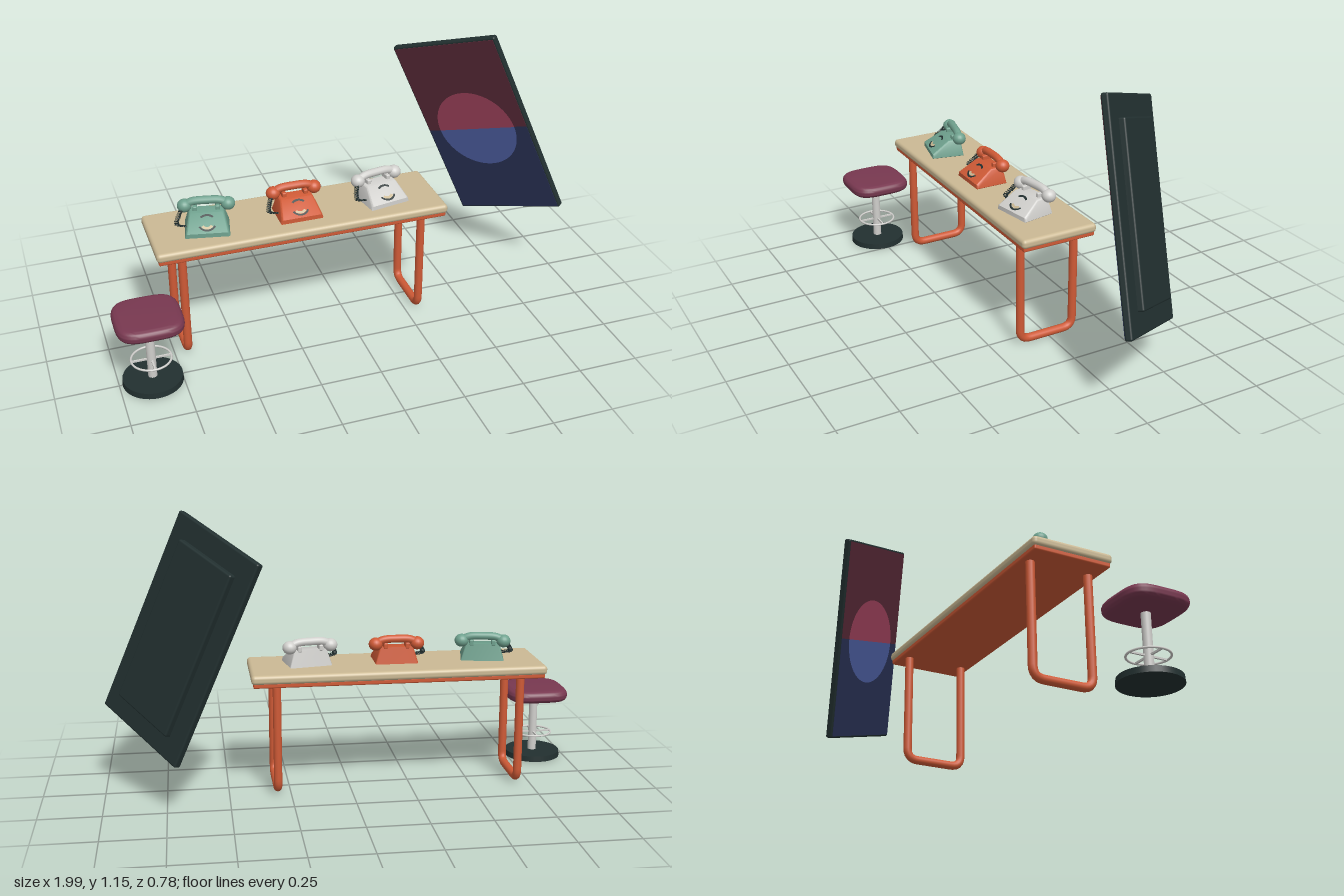
import * as THREE from 'three';
import { toCreasedNormals } from 'three/addons/utils/BufferGeometryUtils.js';
import { RoundedBoxGeometry } from 'three/addons/geometries/RoundedBoxGeometry.js';

const mat = (name, color) => {
  const m = new THREE.MeshStandardMaterial({ color });
  m.name = name;
  return m;
};
const V = (x, y, z) => new THREE.Vector3(x, y, z);

export function createModel() {
  const M = {
    dark: mat('dark slate', 0x223030),
    seat: mat('plum vinyl', 0x783850),
    plum: mat('dark maroon', 0x5c2c3a),
    pink: mat('rose', 0xa5445f),
    blue: mat('medium blue', 0x5062a8),
    navy: mat('navy', 0x2b3459),
    orange: mat('burnt orange', 0xcf5a36),
    beige: mat('beige', 0xcbb994),
    teal: mat('sage teal', 0x6fa18e),
    white: mat('light grey', 0xd0cfcc),
  };
  const add = (parent, name, geo, material, x = 0, y = 0, z = 0) => {
    const m = new THREE.Mesh(geo, material);
    m.name = name;
    m.position.set(x, y, z);
    parent.add(m);
    return m;
  };
  const group = (parent, name, x = 0, y = 0, z = 0) => {
    const g = new THREE.Group();
    g.name = name;
    g.position.set(x, y, z);
    if (parent) parent.add(g);
    return g;
  };
  const root = group(null, 'phoneTableSet');

  // Table: rounded top, under plate and two U-shaped tube legs
  const table = group(root, 'table', -0.197, 0, 0.014);
  add(table, 'tableTop', new RoundedBoxGeometry(1.206, 0.038, 0.33, 4, 0.015), M.beige, 0, 0.495, 0);
  add(table, 'underPlate', new RoundedBoxGeometry(1.19, 0.022, 0.316, 2, 0.006), M.orange, 0, 0.472, 0);
  const zl = 0.121, yb = 0.021, r = 0.045;
  const legPath = new THREE.CurvePath();
  legPath.add(new THREE.LineCurve3(V(0, 0.47, zl), V(0, yb + r, zl)));
  legPath.add(new THREE.QuadraticBezierCurve3(V(0, yb + r, zl), V(0, yb, zl), V(0, yb, zl - r)));
  legPath.add(new THREE.LineCurve3(V(0, yb, zl - r), V(0, yb, r - zl)));
  legPath.add(new THREE.QuadraticBezierCurve3(V(0, yb, r - zl), V(0, yb, -zl), V(0, yb + r, -zl)));
  legPath.add(new THREE.LineCurve3(V(0, yb + r, -zl), V(0, 0.47, -zl)));
  const legGeo = new THREE.TubeGeometry(legPath, 90, 0.017, 14);
  for (const s of [-1, 1]) add(table, 'tableLeg', legGeo, M.orange, s * 0.5, 0, 0);

  // Stool: squircle cushion, post, foot ring and round base
  const stool = group(root, 'stool', -0.867, 0, 0.255);
  const outline = [];
  for (let i = 0; i < 64; i++) {
    const a = (i / 64) * Math.PI * 2, c = Math.cos(a), s = Math.sin(a);
    const k = 0.133 / Math.pow(Math.abs(c) ** 3.6 + Math.abs(s) ** 3.6, 1 / 3.6);
    outline.push(new THREE.Vector2(c * k, s * k));
  }
  let seatGeo = new THREE.ExtrudeGeometry(new THREE.Shape(outline), {
    depth: 0.004, bevelThickness: 0.024, bevelSize: 0.026, bevelOffset: -0.026, bevelSegments: 6,
  });
  seatGeo.rotateX(-Math.PI / 2);
  add(stool, 'stoolSeat', toCreasedNormals(seatGeo, 0.7), M.seat, 0, 0.292, 0);
  add(stool, 'stoolPost', new THREE.CylinderGeometry(0.018, 0.018, 0.25, 24), M.white, 0, 0.145, 0);
  const ring = add(stool, 'footRing', new THREE.TorusGeometry(0.079, 0.0045, 8, 48), M.white, 0, 0.107, 0);
  ring.rotation.x = Math.PI / 2;
  add(stool, 'ringSpoke', new THREE.BoxGeometry(0.156, 0.007, 0.007), M.white, 0, 0.107, 0);
  add(stool, 'ringSpoke', new THREE.BoxGeometry(0.007, 0.007, 0.156), M.white, 0, 0.107, 0);
  add(stool, 'stoolBase', new THREE.CylinderGeometry(0.118, 0.12, 0.024, 40), M.dark, 0, 0.013, 0);

  // Telephones: tapered wedge body, dial, cradle, handset and coiled cord
  const profile = new THREE.Shape([[0.078, 0], [0.078, 0.019], [0.002, 0.07], [-0.052, 0.07], [-0.062, 0]]
    .map((p) => new THREE.Vector2(...p)));
  let bodyGeo = new THREE.ExtrudeGeometry(profile, {
    depth: 0.164, bevelThickness: 0.008, bevelSize: 0.006, bevelOffset: -0.006, bevelSegments: 3,
  });
  bodyGeo.rotateY(-Math.PI / 2).translate(0.082, 0, 0);
  const pos = bodyGeo.attributes.position;
  for (let i = 0; i < pos.count; i++) pos.setX(i, pos.getX(i) * (1 - 3.4 * pos.getY(i)));
  bodyGeo = toCreasedNormals(bodyGeo, 0.6);
  const gripGeo = new THREE.TubeGeometry(new THREE.CatmullRomCurve3(
    [V(-0.088, 0.085, 0), V(-0.055, 0.1, 0), V(0, 0.103, 0), V(0.055, 0.1, 0), V(0.088, 0.085, 0)]), 32, 0.0165, 12);
  const cupGeo = new THREE.SphereGeometry(0.029, 20, 14).scale(1, 0.93, 1);
  const cordLine = new THREE.CatmullRomCurve3(
    [V(-0.1, 0.072, -0.025), V(-0.112, 0.05, -0.01), V(-0.118, 0.03, 0.012), V(-0.075, 0.022, 0.02)]);
  const coil = [];
  for (let i = 0; i <= 110; i++) {
    const a = (i / 110) * Math.PI * 22;
    coil.push(cordLine.getPoint(i / 110).add(V(Math.cos(a) * 0.008, Math.sin(a) * 0.003, Math.sin(a) * 0.008)));
  }
  const cordGeo = new THREE.TubeGeometry(new THREE.CatmullRomCurve3(coil), 330, 0.0025, 5);
  const arc = (r0, r1, a0, a1) => new THREE.RingGeometry(r0, r1, 24, 1, a0 * Math.PI, (a1 - a0) * Math.PI);

  const phones = [
    ['tealPhone', M.teal, -0.567, -0.21],
    ['orangePhone', M.orange, -0.197, 0],
    ['whitePhone', M.white, 0.166, 0.18],
  ];
  for (const [name, color, x, turn] of phones) {
    const phone = group(root, name, x, 0.513, 0.03);
    phone.rotation.y = turn;
    add(phone, 'phoneBody', bodyGeo, color);
    for (const s of [-1, 1]) {
      add(phone, 'cradle', new RoundedBoxGeometry(0.018, 0.026, 0.04, 2, 0.005), color, s * 0.045, 0.075, -0.035);
      add(phone, 'handsetCup', cupGeo, color, s * 0.086, 0.083, -0.042);
    }
    add(phone, 'handsetGrip', gripGeo, color, 0, 0, -0.042);
    add(phone, 'coiledCord', cordGeo, M.dark);
    const dial = group(phone, 'dial', 0, 0.0455, 0.0412);
    dial.rotation.x = 0.59 - Math.PI / 2;
    add(dial, 'dialLowerArc', arc(0.03, 0.038, 1.15, 1.85), M.dark, 0, 0, 0.002);
    add(dial, 'dialNumberArc', arc(0.018, 0.029, 1.2, 1.8), M.beige, 0, 0, 0.002);
    add(dial, 'dialUpperArc', arc(0.029, 0.038, 0.25, 0.75), M.dark, 0, 0, 0.002);
  }

  // Tilted floating screen: slab, raised back cover, two-tone face and disc
  const screen = group(root, 'screen', 0.68, 0.678, -0.148);
  const u = V(0.557, 0.3125, 0.771).normalize();
  const n = u.clone().cross(V(-0.382, 0.919, -0.097)).normalize();
  screen.quaternion.setFromRotationMatrix(new THREE.Matrix4().makeBasis(u, n.clone().cross(u), n));
  add(screen, 'screenFrame', new RoundedBoxGeometry(0.502, 0.867, 0.03, 3, 0.008), M.dark);
  add(screen, 'backCover', new RoundedBoxGeometry(0.332, 0.69, 0.04, 3, 0.008), M.dark, 0, 0, -0.02);
  const half = new THREE.BoxGeometry(0.486, 0.425, 0.004);
  add(screen, 'upperFace', half, M.plum, 0, 0.2125, 0.015);
  add(screen, 'lowerFace', half, M.navy, 0, -0.2125, 0.015);
  add(screen, 'upperHalfDisc', new THREE.CircleGeometry(0.186, 40, 0, Math.PI), M.pink, 0, 0, 0.019);
  add(screen, 'lowerHalfDisc', new THREE.CircleGeometry(0.186, 40, Math.PI, Math.PI), M.blue, 0, 0, 0.019);

  return root;
}
